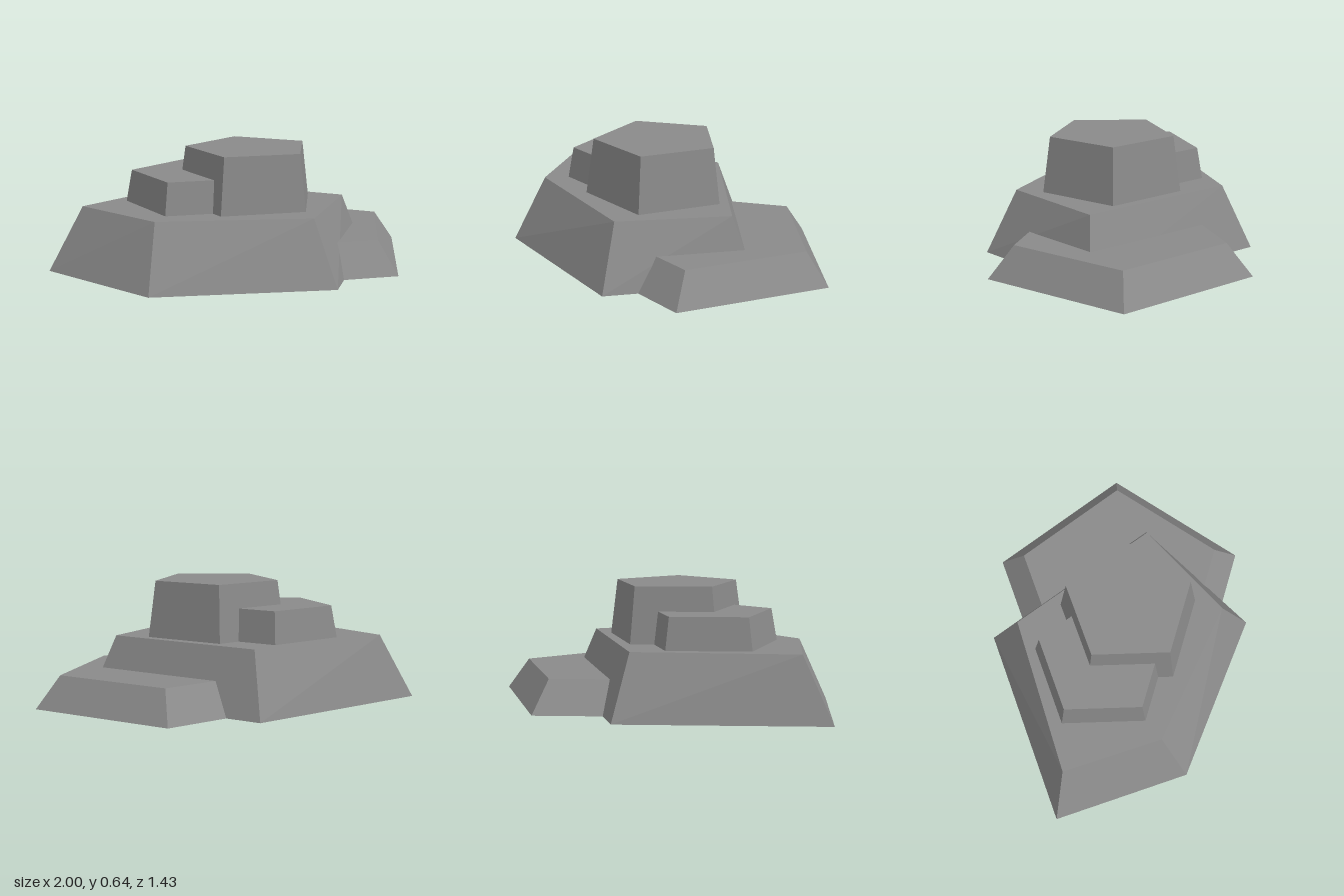
import * as THREE from 'three';

const stone = new THREE.MeshStandardMaterial({ color: 0x8a8a8a });
stone.name = 'grey stone';

// Five corners of a regular pentagon, running from +x towards +z
const pentagon = (cx, cz, r) => Array.from({ length: 5 }, (_, i) => {
  const a = (i / 5) * Math.PI * 2;
  return [cx + r * Math.cos(a), cz + r * Math.sin(a)];
});

// Closed tapered block between two rings of [x, z] corners, with hard facets
function slab(name, lower, upper, y0, y1) {
  const b = lower.map(([x, z]) => [x, y0, z]);
  const t = upper.map(([x, z]) => [x, y1, z]);
  const pos = [];
  const tri = (...corners) => corners.forEach((c) => pos.push(...c));
  const n = b.length;
  for (let i = 0; i < n; i++) {
    const j = (i + 1) % n;
    tri(b[i], t[i], b[j]);
    tri(b[j], t[i], t[j]);
    if (i > 0 && i < n - 1) {
      tri(t[0], t[j], t[i]); // top cap
      tri(b[0], b[i], b[j]); // underside
    }
  }
  const geometry = new THREE.BufferGeometry();
  geometry.setAttribute('position', new THREE.Float32BufferAttribute(pos, 3));
  geometry.computeVertexNormals();
  const mesh = new THREE.Mesh(geometry, stone);
  mesh.name = name;
  return mesh;
}

export function createModel() {
  const group = new THREE.Group();
  group.name = 'steppedRock';

  // Irregular main rock
  group.add(slab('mainRock',
    [[0.67, 0.16], [0.09, 0.715], [-0.78, 0.33], [-1, -0.38], [0.045, -0.72]],
    [[0.515, 0.16], [0.055, 0.55], [-0.665, 0.19], [-0.82, -0.33], [0.01, -0.56]],
    0, 0.34));

  // Low ledge on the left side
  group.add(slab('lowLedge',
    pentagon(0.287, 0.005, 0.71), pentagon(0.297, 0.005, 0.568), 0, 0.17));

  // Two upper stones resting on the main rock
  group.add(slab('tallStone',
    pentagon(-0.014, 0.04, 0.384), pentagon(-0.012, 0.04, 0.342), 0.34, 0.64));
  group.add(slab('shortStone',
    pentagon(-0.26, -0.11, 0.373), pentagon(-0.259, -0.11, 0.342), 0.34, 0.51));

  return group;
}
